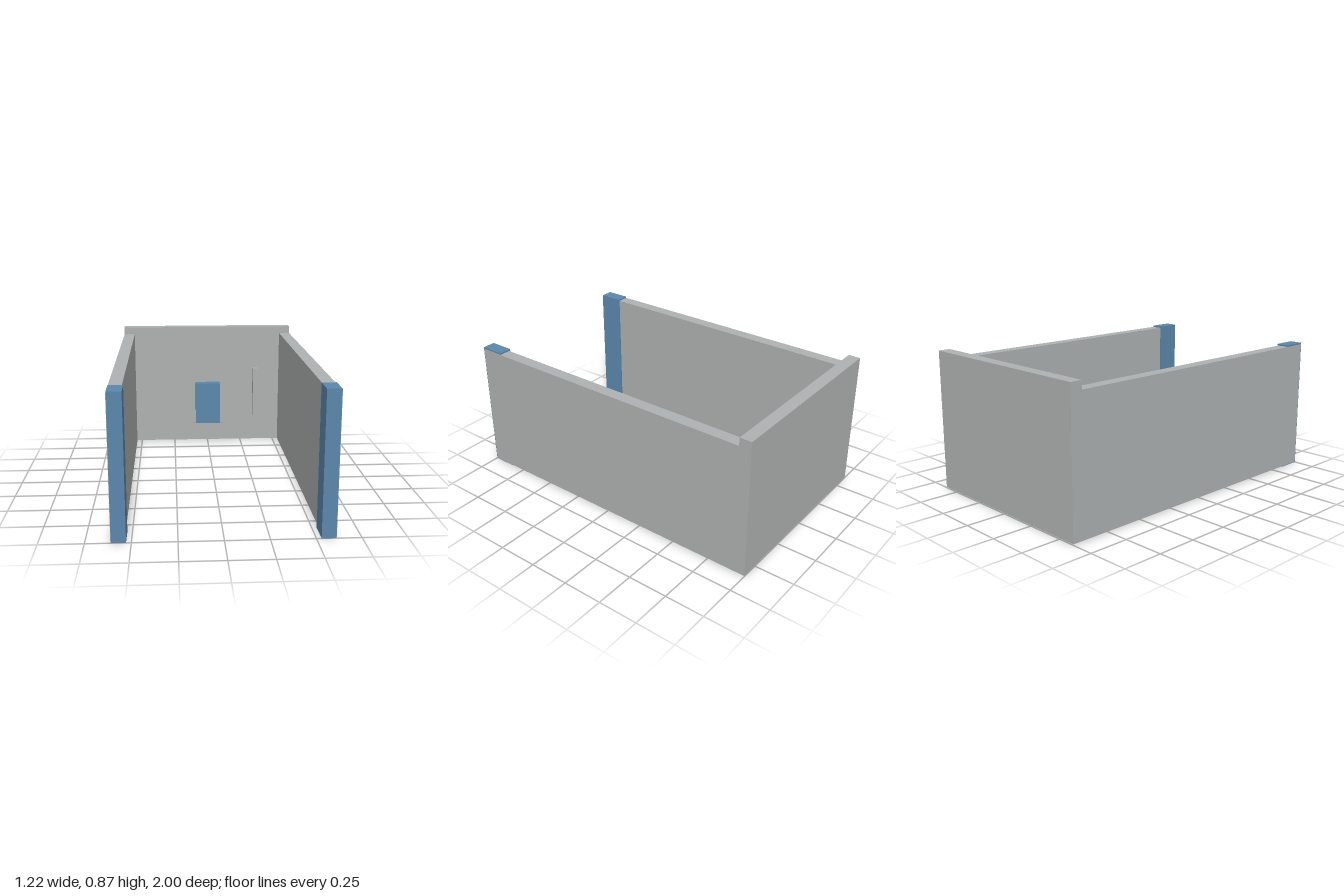
import * as THREE from 'three';

export function createModel() {
  const model = new THREE.Group();
  model.name = 'threeWallEnclosure';

  const grey = new THREE.MeshStandardMaterial({ color: 0xaeb1b1 });
  grey.name = 'wallGrey';
  const blue = new THREE.MeshStandardMaterial({ color: 0x5b87ab });
  blue.name = 'trimBlue';

  // Box given by its opposite corners
  function block(name, material, [x0, y0, z0], [x1, y1, z1]) {
    const mesh = new THREE.Mesh(new THREE.BoxGeometry(x1 - x0, y1 - y0, z1 - z0), material);
    mesh.position.set((x0 + x1) / 2, (y0 + y1) / 2, (z0 + z1) / 2);
    mesh.name = name;
    model.add(mesh);
  }

  // Taller wall across the back
  block('backWall', grey, [-0.612, 0.005, -1], [0.612, 0.872, -0.925]);

  // Side walls, each with a blue post wrapping its open end but not its outer face
  for (const [side, s] of [['left', 1], ['right', -1]]) {
    const a = s * 0.537, b = s * 0.612;
    block(side + 'Wall', grey,
      [Math.min(a, b), 0.005, -0.925], [Math.max(a, b), 0.822, 0.995]);
    const c = s * 0.528, d = s * 0.61;
    block(side + 'EndPost', blue,
      [Math.min(c, d), 0, 0.847], [Math.max(c, d), 0.832, 1]);
  }

  // Fittings in front of the back wall
  block('panelBox', blue, [-0.09, 0.157, -0.895], [0.09, 0.462, -0.832]);
  block('uprightBar', grey, [0.338, 0.21, -0.9], [0.373, 0.567, -0.853]);

  return model;
}
